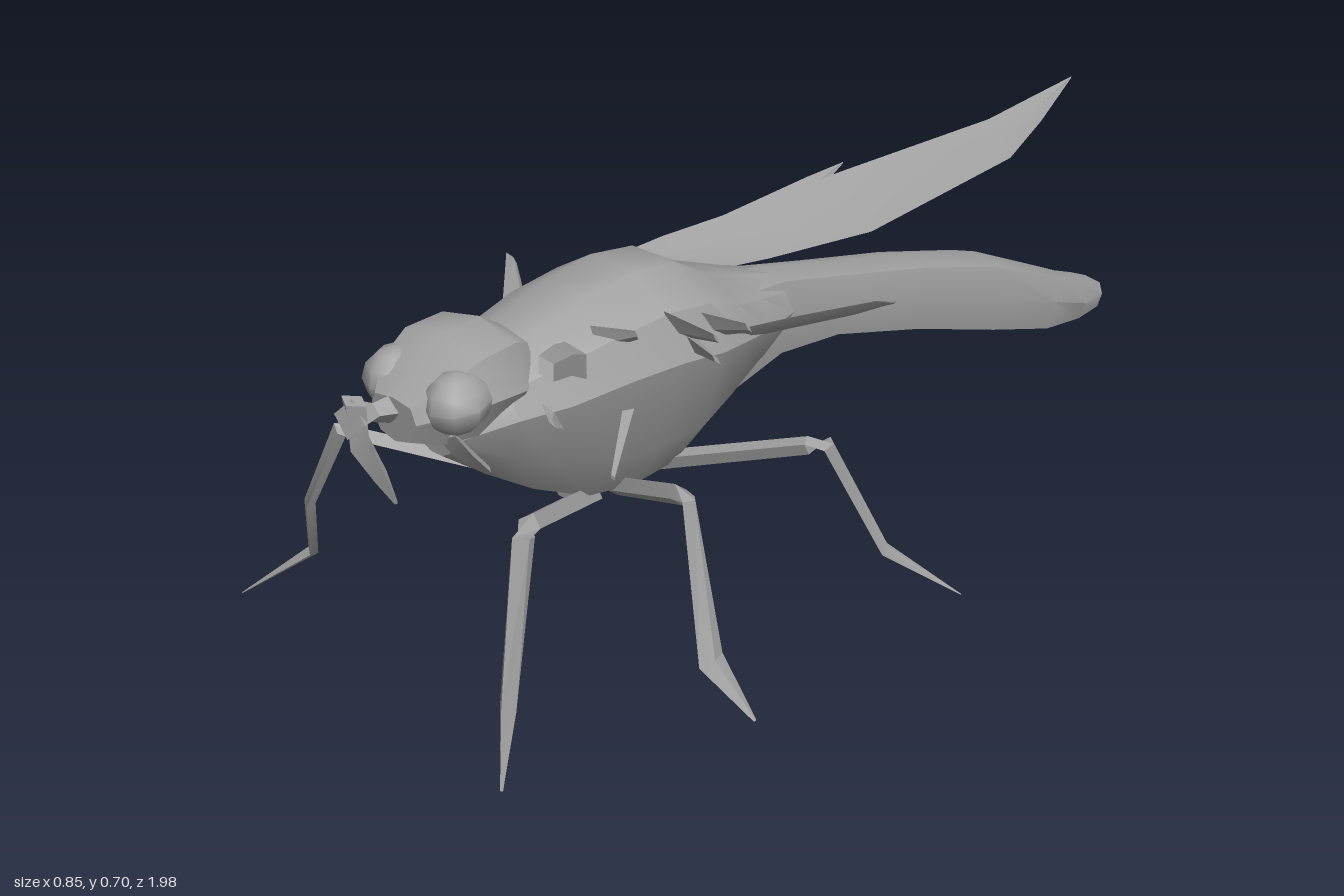
import * as THREE from 'three';
import { toCreasedNormals } from 'three/addons/utils/BufferGeometryUtils.js';

const V = (a) => new THREE.Vector3(a[0], a[1], a[2]);

// Closed skin over a list of rings (arrays of Vector3), capped at both ends.
function loft(rings, crease = 0.6) {
  const pos = [], n = rings[0].length;
  const tri = (...p) => p.forEach((q) => pos.push(q.x, q.y, q.z));
  const centre = (r) => r.reduce((s, p) => s.add(p), new THREE.Vector3()).divideScalar(n);
  for (let i = 0; i < rings.length - 1; i++) {
    for (let j = 0; j < n; j++) {
      const k = (j + 1) % n, A = rings[i], B = rings[i + 1];
      tri(A[j], B[j], A[k]);
      tri(A[k], B[j], B[k]);
    }
  }
  const first = rings[0], last = rings[rings.length - 1];
  for (let j = 0; j < n; j++) {
    const k = (j + 1) % n;
    tri(centre(first), first[j], first[k]);
    tri(centre(last), last[k], last[j]);
  }
  const g = new THREE.BufferGeometry();
  g.setAttribute('position', new THREE.Float32BufferAttribute(pos, 3));
  return toCreasedNormals(g, crease);
}

// Body section: [z, centre x, half width, top y, bottom y, widest y].
// A power under 1 makes the section boxier; taper narrows its underside.
function bodyRing([z, cx, hw, top, bottom, mid], sides, power, taper) {
  const soft = (t) => Math.sign(t) * Math.abs(t) ** power;
  return Array.from({ length: sides }, (_, j) => {
    const a = (j / sides) * Math.PI * 2, c = soft(Math.cos(a)), s = soft(Math.sin(a));
    const w = s < 0 ? c * (1 + taper * s) : c;
    return new THREE.Vector3(cx + hw * w, mid + s * (s > 0 ? top - mid : mid - bottom), z);
  });
}
const body = (sections, sides = 10, power = 1, taper = 0.25) =>
  loft(sections.map((s) => bodyRing(s, sides, power, taper)));

// Diamond-section limb through points [x, y, z, half width, half thickness].
// The width lies along ref.
function limb(points, ref) {
  const rings = points.map((p, i) => {
    const t = V(points[Math.min(i + 1, points.length - 1)])
      .sub(V(points[Math.max(i - 1, 0)])).normalize();
    const u = V(ref).addScaledVector(t, -V(ref).dot(t)).normalize();
    const v = u.clone().cross(t);
    const at = (a, b) => V(p).addScaledVector(u, a * p[3]).addScaledVector(v, b * p[4]);
    return [at(1, 0), at(0, 1), at(-1, 0), at(0, -1)];
  });
  return loft(rings, 0.4);
}

export function createModel() {
  const model = new THREE.Group();
  const grey = new THREE.MeshStandardMaterial({ color: 0xa3a3a3, side: THREE.DoubleSide });
  grey.name = 'grey';
  const add = (name, geometry) => {
    const m = new THREE.Mesh(geometry, grey);
    m.name = name;
    model.add(m);
    return m;
  };

  // Humped thorax
  add('thorax', body([
    [0.84, 0.04, 0.05, 0.53, 0.45, 0.49],
    [0.77, 0.045, 0.095, 0.58, 0.39, 0.51],
    [0.69, 0.05, 0.118, 0.605, 0.33, 0.51],
    [0.58, 0.05, 0.135, 0.62, 0.265, 0.51],
    [0.48, 0.05, 0.142, 0.625, 0.24, 0.5],
    [0.39, 0.05, 0.14, 0.605, 0.24, 0.48],
    [0.31, 0.05, 0.12, 0.55, 0.28, 0.46],
    [0.22, 0.05, 0.085, 0.51, 0.32, 0.43],
    [0.12, 0.05, 0.05, 0.47, 0.34, 0.41],
  ]));

  // Long drooping abdomen
  add('abdomen', body([
    [0.3, 0.05, 0.08, 0.52, 0.32, 0.42],
    [0.14, 0.05, 0.052, 0.48, 0.325, 0.41],
    [0, 0.052, 0.052, 0.435, 0.305, 0.37],
    [-0.2, 0.06, 0.055, 0.375, 0.235, 0.31],
    [-0.4, 0.067, 0.06, 0.305, 0.155, 0.23],
    [-0.55, 0.073, 0.063, 0.225, 0.1, 0.17],
    [-0.66, 0.072, 0.054, 0.165, 0.078, 0.12],
    [-0.735, 0.073, 0.038, 0.13, 0.07, 0.105],
  ], 8, 0.55, 0.1));

  // Head: a broad flat-topped dome with two eyes set into its sides
  add('head', body([
    [0.92, 0.045, 0.045, 0.58, 0.51, 0.55],
    [0.88, 0.045, 0.08, 0.61, 0.49, 0.56],
    [0.82, 0.045, 0.095, 0.638, 0.48, 0.56],
    [0.75, 0.045, 0.092, 0.638, 0.48, 0.55],
    [0.71, 0.045, 0.07, 0.61, 0.49, 0.55],
  ], 8, 0.65));
  for (const side of [-1, 1]) {
    const eye = add(side > 0 ? 'leftEye' : 'rightEye',
      toCreasedNormals(new THREE.SphereGeometry(0.05, 8, 6), 0.9));
    eye.position.set(0.05 + side * 0.06, 0.57, 0.86);
    eye.scale.set(0.92, 0.92, 1.05);
  }

  // Mouthparts
  add('snout', limb([
    [0.04, 0.55, 0.88, 0.025, 0.03], [0.035, 0.565, 0.95, 0.016, 0.014],
    [0.04, 0.575, 0.995, 0.028, 0.03]], [1, 0, 0]));
  add('proboscis', limb([
    [0.04, 0.6, 0.985, 0.025, 0.015], [0.04, 0.53, 0.98, 0.02, 0.018],
    [0.05, 0.47, 0.955, 0.014, 0.012], [0.055, 0.42, 0.935, 0.003, 0.003]], [1, 0, 0]));
  for (const side of [-1, 1]) {
    add('jaw', limb([
      [0.05 + side * 0.04, 0.52, 0.87, 0.025, 0.014],
      [0.05 + side * 0.045, 0.48, 0.845, 0.025, 0.012],
      [0.05 + side * 0.04, 0.42, 0.79, 0.006, 0.006]], [1, 0, 0]));
  }

  // Wings: one long blade, one sliver and one short stub
  add('rightWing', limb([
    [-0.07, 0.52, 0.4, 0.02, 0.01], [-0.09, 0.475, 0.2, 0.036, 0.007],
    [-0.08, 0.445, 0, 0.046, 0.005], [-0.066, 0.418, -0.24, 0.057, 0.004],
    [-0.09, 0.374, -0.68, 0.04, 0.004], [-0.115, 0.375, -0.82, 0.024, 0.003],
    [-0.145, 0.38, -0.98, 0.001, 0.001]], [0.7, -0.85, 0]));
  add('rightHindWing', limb([
    [-0.08, 0.49, 0.36, 0.02, 0.006], [-0.105, 0.47, 0.1, 0.018, 0.005],
    [-0.115, 0.455, -0.18, 0.016, 0.004], [-0.145, 0.445, -0.3, 0.001, 0.001]], [0.7, -0.85, 0]));
  add('leftWingStub', limb([
    [0.15, 0.49, 0.42, 0.03, 0.006], [0.165, 0.45, 0.22, 0.028, 0.005],
    [0.178, 0.41, 0.04, 0.024, 0.004], [0.167, 0.38, -0.05, 0.003, 0.002]], [0.7, 0.7, 0]));

  // Legs, meeting at the underside of the thorax
  const legs = {
    frontLeftLeg: [[1, 0, 0.2], [0.05, 0.25, 0.54, 0.018, 0.018],
      [0.19, 0.38, 0.81, 0.017, 0.017], [0.208, 0.38, 0.84, 0.014, 0.02],
      [0.222, 0.13, 0.9, 0.02, 0.012], [0.245, 0.02, 0.943, 0.003, 0.003]],
    frontRightLeg: [[0.6, 0, 1], [0.01, 0.25, 0.54, 0.018, 0.014],
      [-0.155, 0.4, 0.815, 0.016, 0.012], [-0.175, 0.41, 0.83, 0.016, 0.012],
      [-0.235, 0.27, 0.85, 0.014, 0.009], [-0.31, 0.125, 0.79, 0.012, 0.009],
      [-0.425, 0.025, 0.845, 0.001, 0.001]],
    middleLeftLeg: [[0, 0, 1], [0.06, 0.25, 0.5, 0.016, 0.016],
      [0.27, 0.355, 0.585, 0.015, 0.017], [0.295, 0.36, 0.592, 0.013, 0.013],
      [0.345, 0.11, 0.605, 0.026, 0.009], [0.41, 0.02, 0.582, 0.003, 0.002]],
    rearLeftLeg: [[0, 0.5, 1], [0.06, 0.25, 0.4, 0.018, 0.015],
      [0.285, 0.32, 0.31, 0.016, 0.014], [0.31, 0.325, 0.295, 0.014, 0.012],
      [0.34, 0.1, 0.19, 0.013, 0.01], [0.425, 0.006, 0.1, 0.001, 0.001]],
    rearRightLeg: [[1, 0, 0.4], [0.01, 0.25, 0.36, 0.015, 0.018],
      [-0.235, 0.34, 0.315, 0.014, 0.015], [-0.256, 0.345, 0.3, 0.013, 0.014],
      [-0.3, 0.15, 0.205, 0.015, 0.01], [-0.33, 0.075, 0.155, 0.028, 0.006],
      [-0.368, 0.014, 0.112, 0.018, 0.003]],
    raisedLeftLeg: [[0.6, -0.7, 0], [0.13, 0.55, 0.64, 0.032, 0.018],
      [0.21, 0.625, 0.75, 0.025, 0.015], [0.287, 0.685, 0.86, 0.02, 0.012]],
  };
  for (const [name, [ref, ...points]] of Object.entries(legs)) add(name, limb(points, ref));

  // Broad jagged flakes on the flanks: [base], [tip], half width
  const flakes = [
    [[-0.06, 0.53, 0.57], [-0.13, 0.58, 0.51], 0.05],
    [[-0.06, 0.46, 0.5], [-0.12, 0.495, 0.52], 0.045],
    [[-0.05, 0.44, 0.42], [-0.14, 0.43, 0.37], 0.04],
    [[-0.05, 0.4, 0.36], [-0.115, 0.37, 0.33], 0.04],
    [[0.16, 0.55, 0.47], [0.235, 0.548, 0.46], 0.04],
    [[0.16, 0.51, 0.44], [0.235, 0.512, 0.46], 0.035],
    [[0.15, 0.52, 0.4], [0.228, 0.53, 0.38], 0.04],
    [[0.14, 0.46, 0.54], [0.24, 0.42, 0.69], 0.018],
    [[0.13, 0.5, 0.7], [0.17, 0.51, 0.74], 0.04],
    [[0.13, 0.57, 0.6], [0.18, 0.58, 0.57], 0.035],
  ];
  for (const [a, b, w] of flakes) {
    add('flankFlake', limb([[...a, w, 0.012], [...b, w * 0.35, 0.003]], [0, 0.8, 0.6]));
  }

  // Short block joining the leg bases
  add('legBase', body([
    [0.58, 0.035, 0.04, 0.32, 0.25, 0.28],
    [0.45, 0.035, 0.045, 0.3, 0.236, 0.26],
    [0.33, 0.035, 0.04, 0.32, 0.24, 0.27],
  ], 6));

  return model;
}
